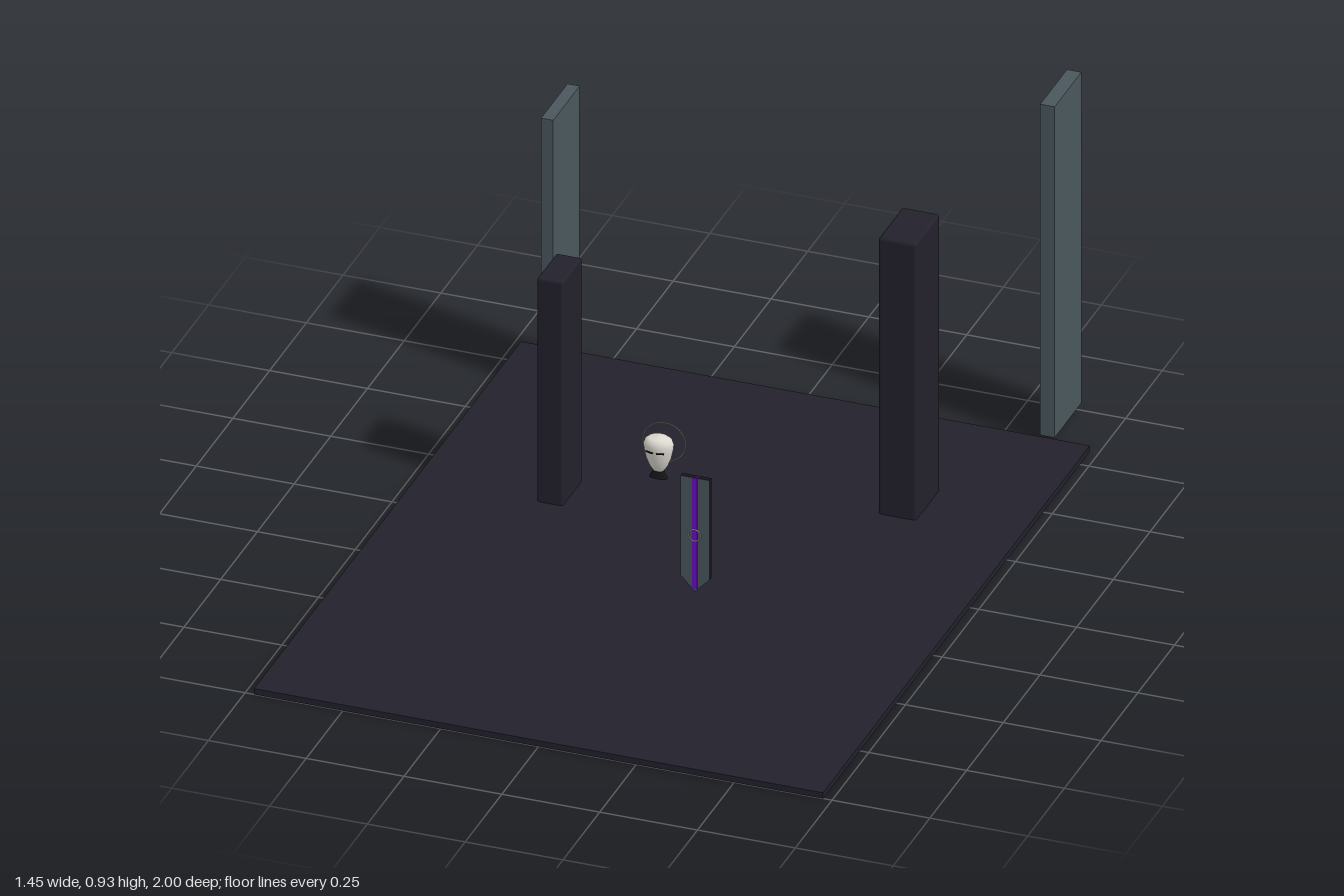
import * as THREE from 'three';
import { RoundedBoxGeometry } from 'three/addons/geometries/RoundedBoxGeometry.js';

const mat = (name, color, side = THREE.FrontSide) => {
  const m = new THREE.MeshStandardMaterial({ color, side });
  m.name = name;
  return m;
};

export function createModel() {
  const group = new THREE.Group();
  const stone = mat('dark stone', 0x22212c);
  const slate = mat('slate glass', 0x4a575d);
  const black = mat('black', 0x15151a);
  const bone = mat('bone white', 0xdcd9d0, THREE.DoubleSide);
  const violet = mat('violet', 0x6a0dc8);

  const add = (name, geometry, material, x = 0, y = 0, z = 0, parent = group) => {
    const mesh = new THREE.Mesh(geometry, material);
    mesh.name = name;
    mesh.position.set(x, y, z);
    parent.add(mesh);
    return mesh;
  };
  // Box given by its lower and upper limits; a radius rounds its edges
  const block = (name, material, [x0, x1], [y0, y1], [z0, z1], radius = 0) => {
    const size = [x1 - x0, y1 - y0, z1 - z0];
    const geo = radius ? new RoundedBoxGeometry(...size, 2, radius) : new THREE.BoxGeometry(...size);
    return add(name, geo, material, (x0 + x1) / 2, (y0 + y1) / 2, (z0 + z1) / 2);
  };

  // Floor, pillars and standing panels
  block('floor', stone, [-0.727, 0.727], [0, 0.016], [-0.818, 1]);
  block('leftPillar', stone, [0.37, 0.467], [0.01, 0.773], [-0.49, -0.327], 0.008);
  block('rightPillar', stone, [-0.416, -0.35], [0.01, 0.628], [-0.23, -0.097], 0.006);
  block('leftPanel', slate, [0.6, 0.637], [0.02, 0.927], [-1, -0.818]);
  block('rightPanel', slate, [-0.608, -0.577], [0.02, 0.746], [-0.818, -0.638]);

  // Floating bust: egg-shaped head, narrow eyes, flared neck and halo
  const bust = new THREE.Group();
  bust.name = 'bust';
  bust.position.set(0, 0, 0.182);
  group.add(bust);
  const profile = [[0, 0.327], [0.014, 0.331], [0.023, 0.345], [0.031, 0.365], [0.036, 0.388],
    [0.0375, 0.402], [0.034, 0.413], [0.025, 0.42], [0, 0.423]];
  const head = add('head', new THREE.LatheGeometry(profile.map(p => new THREE.Vector2(...p)), 32), bone, 0, 0, 0, bust);
  head.scale.z = 0.79;
  for (const s of [-1, 1]) {
    const eye = add('eye', new THREE.BoxGeometry(0.019, 0.003, 0.006), black, s * 0.0135, 0.39, 0.0262, bust);
    eye.rotation.y = s * 0.3;
  }
  const neck = add('neck', new THREE.CylinderGeometry(0.008, 0.024, 0.032, 24), black, 0, 0.326, 0, bust);
  neck.scale.z = 0.45;
  const halo = add('halo', new THREE.TorusGeometry(0.053, 0.0012, 8, 64), bone, 0, 0.387, -0.037, bust);
  halo.rotation.y = 0.1;

  // Hanging banner with a pointed foot, a centre stripe and ring emblems
  const banner = new THREE.Group();
  banner.name = 'banner';
  banner.position.set(0.097, 0, 0.187);
  group.add(banner);
  const outline = new THREE.Shape([[-0.037, 0.333], [-0.037, 0.06], [0, 0.022], [0.037, 0.06], [0.037, 0.333]]
    .map(p => new THREE.Vector2(...p)));
  const cloth = new THREE.ExtrudeGeometry(outline, { depth: 0.013, bevelEnabled: false });
  add('cloth', cloth, [slate, black], 0, 0, -0.0065, banner);
  add('stripe', new THREE.BoxGeometry(0.013, 0.303, 0.016), violet, 0, 0.1815, 0, banner);
  for (const s of [-1, 1]) {
    add('emblemRing', new THREE.TorusGeometry(0.0155, 0.0012, 8, 32), bone, 0, 0.177, s * 0.009, banner);
  }
  return group;
}
